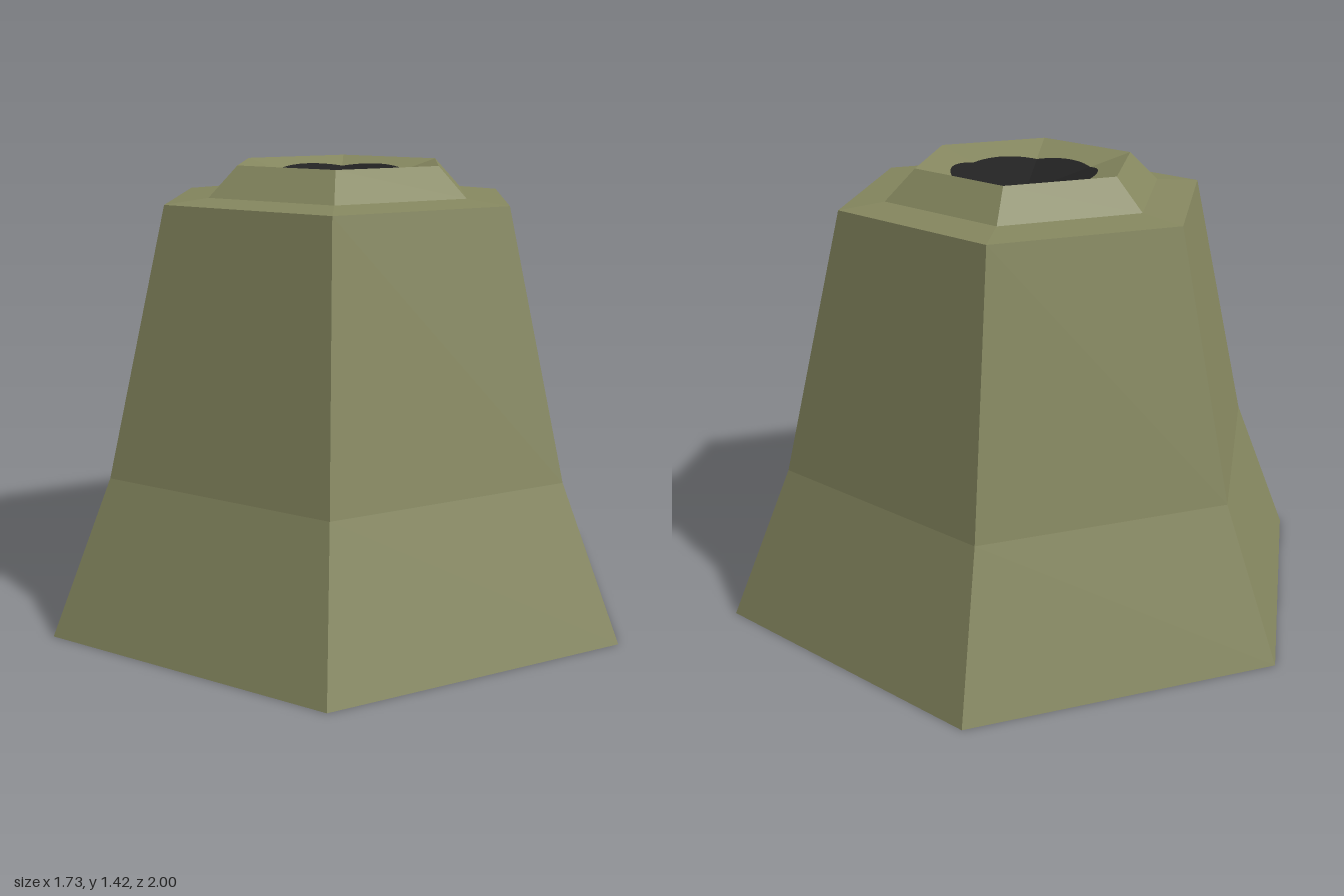
import * as THREE from 'three';

const stone = new THREE.MeshStandardMaterial({ color: 0x85875f, flatShading: true, side: THREE.DoubleSide });
stone.name = 'olive stone';
const soot = new THREE.MeshStandardMaterial({ color: 0x222222, flatShading: true, side: THREE.DoubleSide });
soot.name = 'dark opening';

const TOP = 1.42, FLOOR = 1.32, RIM = 0.357;
const APOTHEM = RIM * Math.cos(Math.PI / 6);
const STEPS = 72;

// Hollow six-sided shell swept from [radius, height] pairs
function hexShell(name, profile) {
  const points = profile.map(([r, y]) => new THREE.Vector2(r, y));
  const geometry = new THREE.LatheGeometry(points, 6).toNonIndexed();
  geometry.computeVertexNormals();
  const mesh = new THREE.Mesh(geometry, stone);
  mesh.name = name;
  return mesh;
}

// Fraction of the way from the centre to the hexagon's edge per unit radius
function hexScale(angle) {
  let s = 0;
  for (let i = 0; i < 6; i++) s = Math.max(s, Math.cos(angle - i * Math.PI / 3));
  return s / APOTHEM;
}

const rimRadius = (angle) => 1 / hexScale(angle);
// Round opening of radius 0.23, shifted slightly towards the back
function holeRadius(angle) {
  const shift = 0.02, b = shift * Math.sin(angle);
  return b + Math.sqrt(b * b + 0.23 * 0.23 - shift * shift);
}

// Band of the shallow hexagonal funnel between two radius rules
function funnelBand(name, inner, outer, material) {
  const ring = new THREE.RingGeometry(0.5, 1, STEPS, 1);
  const pos = ring.attributes.position;
  for (let i = 0; i < pos.count; i++) {
    const angle = (i % (STEPS + 1)) / STEPS * Math.PI * 2;
    const r = i <= STEPS ? inner(angle) : outer(angle);
    pos.setXYZ(i, r * Math.cos(angle), FLOOR + (TOP - FLOOR) * r * hexScale(angle), -r * Math.sin(angle));
  }
  const geometry = ring.toNonIndexed();
  geometry.computeVertexNormals();
  const mesh = new THREE.Mesh(geometry, material);
  mesh.name = name;
  return mesh;
}

export function createModel() {
  const model = new THREE.Group();
  model.name = 'hexagonalVent';
  model.add(
    hexShell('flaredBase', [[1, 0], [0.8, 0.48]]),
    hexShell('upperWall', [[0.8, 0.48], [0.6, 1.31]]),
    hexShell('ledge', [[0.6, 1.31], [0.455, 1.325]]),
    hexShell('collar', [[0.455, 1.325], [RIM, TOP]]),
    funnelBand('funnel', holeRadius, rimRadius, stone),
    funnelBand('opening', () => 0, holeRadius, soot)
  );
  return model;
}
